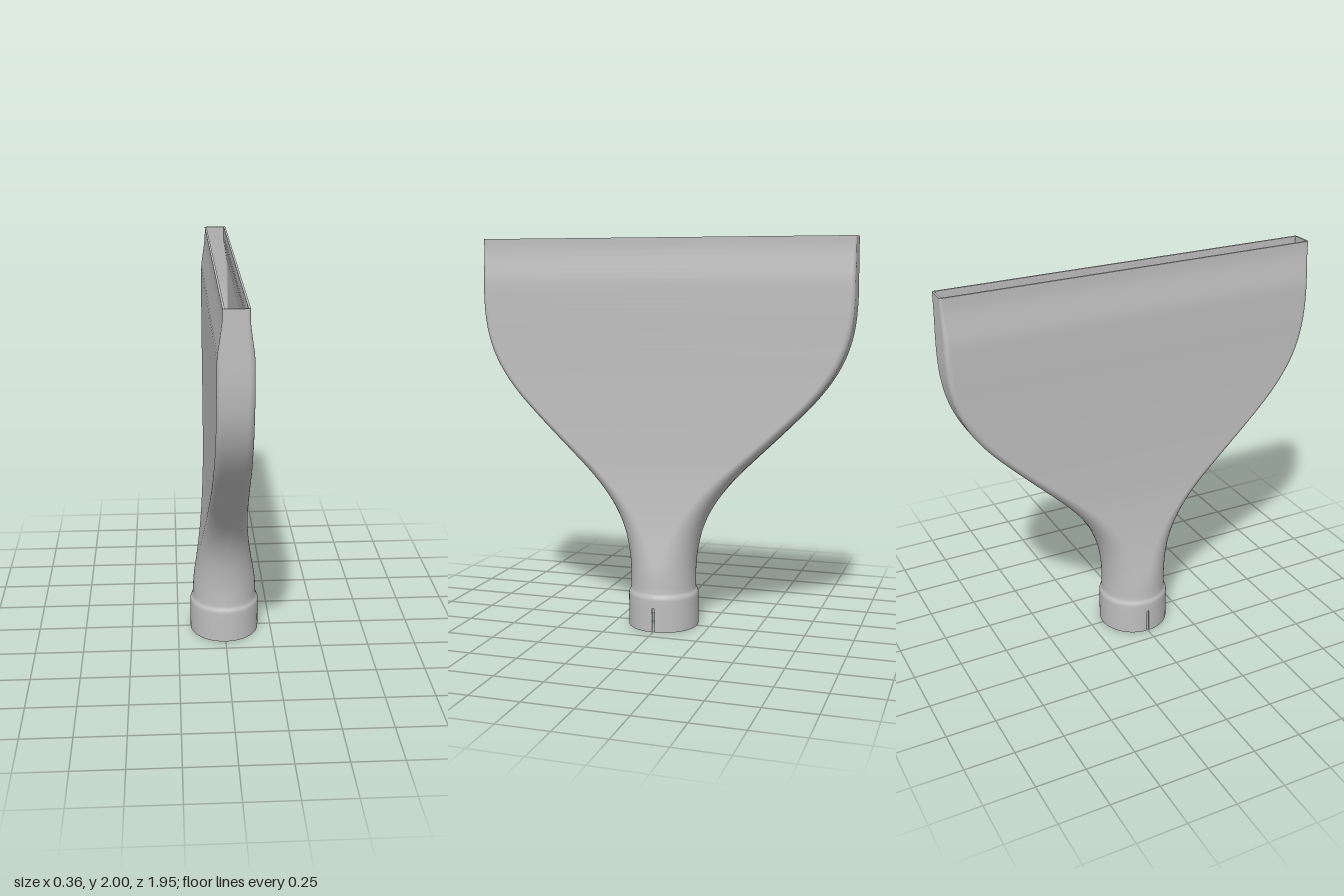
import * as THREE from 'three';

const WALL = 0.01, COLLAR_R = 0.182, SLOT_TOP = 0.125, SLOT_HALF = 0.007, CORNER = 14;

// Body sections: height, half width x, half width z, corner radius
const KEYS = [
  [0.2, 0.17, 0.17, 0.169], [0.3, 0.163, 0.17, 0.161], [0.4, 0.147, 0.18, 0.143],
  [0.5, 0.131, 0.202, 0.123], [0.6, 0.118, 0.243, 0.104], [0.7, 0.108, 0.307, 0.089],
  [0.8, 0.1, 0.392, 0.076], [0.9, 0.095, 0.492, 0.064], [1, 0.091, 0.595, 0.055],
  [1.1, 0.088, 0.695, 0.047], [1.2, 0.086, 0.788, 0.041], [1.3, 0.084, 0.863, 0.036],
  [1.4, 0.083, 0.917, 0.032], [1.5, 0.082, 0.951, 0.03], [1.6, 0.082, 0.968, 0.028],
  [1.7, 0.081, 0.974, 0.026], [1.77, 0.08, 0.974, 0.025], [1.8, 0.078, 0.974, 0.024],
  [1.87, 0.068, 0.974, 0.019], [1.93, 0.06, 0.974, 0.014], [1.96, 0.058, 0.974, 0.012],
  [2, 0.058, 0.974, 0.012],
];

function bodySections() {
  const collar = [[SLOT_TOP, COLLAR_R], [0.165, COLLAR_R], [0.174, 0.181], [0.182, 0.178], [0.19, 0.173]]
    .map(([y, r]) => [y, r, r, r - 0.001]);
  const spline = new THREE.CubicInterpolant(KEYS.map(k => k[0]), KEYS.flatMap(k => k.slice(1)), 3);
  const rows = 72;
  for (let i = 0; i <= rows; i++) {
    const y = 0.2 + 1.8 * i / rows;
    collar.push([y, ...Array.from(spline.evaluate(y))]);
  }
  return collar;
}

// Rounded rectangle ring, counter-clockwise from +x towards +z
function ring([y, hx, hz, r], inset = 0) {
  const a = hx - inset, b = hz - inset, c = Math.max(r - inset, 0.002);
  const points = [];
  [[1, 1], [-1, 1], [-1, -1], [1, -1]].forEach(([sx, sz], q) => {
    for (let i = 0; i <= CORNER; i++) {
      const t = (q + i / CORNER) * Math.PI / 2;
      points.push([sx * (a - c) + c * Math.cos(t), y, sz * (b - c) + c * Math.sin(t)]);
    }
  });
  return points;
}

// Skin a stack of closed rings
function loft(rings, flip = false) {
  const n = rings[0].length, index = [];
  for (let j = 0; j < rings.length - 1; j++) {
    for (let i = 0; i < n; i++) {
      const a = j * n + i, b = j * n + (i + 1) % n, c = a + n, d = b + n;
      index.push(...(flip ? [a, b, c, b, d, c] : [a, c, b, b, c, d]));
    }
  }
  const g = new THREE.BufferGeometry();
  g.setAttribute('position', new THREE.Float32BufferAttribute(rings.flat(2), 3));
  g.setIndex(index);
  g.computeVertexNormals();
  return g;
}

export function createModel() {
  const model = new THREE.Group();
  model.name = 'flatNozzle';
  const grey = new THREE.MeshStandardMaterial({ color: 0xbfbfbf, side: THREE.DoubleSide });
  grey.name = 'grey plastic';
  const add = (name, geometry, parent = model) => {
    const mesh = new THREE.Mesh(geometry, grey);
    mesh.name = name;
    parent.add(mesh);
    return mesh;
  };

  // Hollow body, round at the neck and a flat slit at the mouth
  const sections = bodySections();
  const top = sections[sections.length - 1];
  add('outerShell', loft(sections.map(s => ring(s))));
  add('innerShell', loft(sections.map(s => ring(s, WALL)), true));
  add('mouthRim', loft([ring(top), ring(top, WALL)]));

  // Collar end, split by a narrow slot on each side
  const innerR = COLLAR_R - WALL, gap = SLOT_HALF / COLLAR_R;
  for (const side of [0, 1]) {
    const half = new THREE.Group();
    half.name = side ? 'backCollarHalf' : 'frontCollarHalf';
    half.rotation.y = side * Math.PI;
    model.add(half);
    const start = -Math.PI / 2 + gap, sweep = Math.PI - 2 * gap;
    for (const [name, r] of [['collarOutside', COLLAR_R], ['collarInside', innerR]]) {
      add(name, new THREE.CylinderGeometry(r, r, SLOT_TOP, 40, 1, true, start, sweep), half)
        .position.y = SLOT_TOP / 2;
    }
    add('collarBottomEdge', new THREE.RingGeometry(innerR, COLLAR_R, 40, 1, gap, sweep), half)
      .rotation.x = Math.PI / 2;
    // Slot walls and slot ceiling
    const mid = (COLLAR_R + innerR) / 2;
    for (const s of [-1, 1]) {
      const wall = add('slotWall', new THREE.PlaneGeometry(WALL, SLOT_TOP), half);
      wall.position.set(s * mid, SLOT_TOP / 2, SLOT_HALF);
      wall.rotation.y = Math.PI;
    }
    const ceiling = add('slotCeiling', new THREE.PlaneGeometry(WALL, SLOT_HALF * 2), half);
    ceiling.position.set(mid, SLOT_TOP, 0);
    ceiling.rotation.x = Math.PI / 2;
  }
  return model;
}
